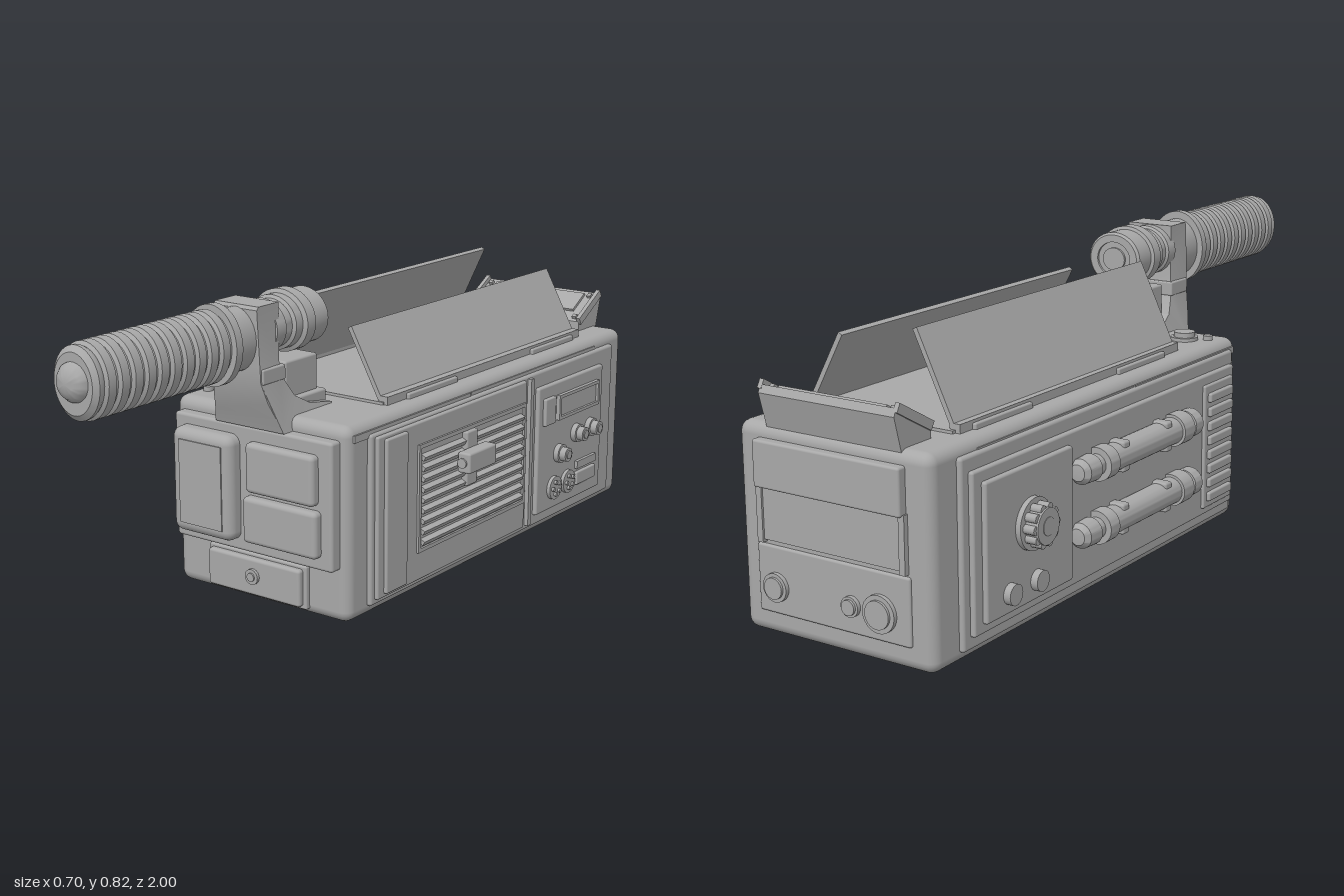
import * as THREE from 'three';
import { toCreasedNormals } from 'three/addons/utils/BufferGeometryUtils.js';
import { RoundedBoxGeometry } from 'three/addons/geometries/RoundedBoxGeometry.js';

export function createModel() {
  const root = new THREE.Group();
  const grey = new THREE.MeshStandardMaterial({ color: 0xa8a8a8 });
  grey.name = 'mid grey';

  const add = (name, geo, x = 0, y = 0, z = 0) => {
    const m = new THREE.Mesh(geo, grey);
    m.name = name;
    m.position.set(x, y, z);
    root.add(m);
    return m;
  };
  // Box given by its extents; r rounds the edges
  const box = (name, x0, x1, y0, y1, z0, z1, r = 0) => {
    const s = [x1 - x0, y1 - y0, z1 - z0];
    const geo = r ? new RoundedBoxGeometry(...s, 3, r) : new THREE.BoxGeometry(...s);
    return add(name, geo, (x0 + x1) / 2, (y0 + y1) / 2, (z0 + z1) / 2);
  };
  // Cylinder along an axis
  const cyl = (name, axis, r, len, x, y, z, sides = 24) => {
    const geo = new THREE.CylinderGeometry(r, r, len, sides);
    if (axis === 'x') geo.rotateZ(Math.PI / 2);
    if (axis === 'z') geo.rotateX(Math.PI / 2);
    return add(name, geo, x, y, z);
  };
  // Turned part along z from [radius, z] points, z rising
  const turned = (name, pts, x, y, sx = 1) => {
    let geo = new THREE.LatheGeometry(pts.map(p => new THREE.Vector2(p[0], p[1])), 40);
    geo.rotateX(Math.PI / 2);
    geo.scale(sx, 1, 1);
    geo = toCreasedNormals(geo, 0.6);
    return add(name, geo, x, y, 0);
  };
  // Side profile in [z, y], extruded across x
  const profile = (pts, width) => {
    const shape = new THREE.Shape(pts.map(p => new THREE.Vector2(p[0], p[1])));
    const geo = new THREE.ExtrudeGeometry(shape, { depth: width, bevelEnabled: false });
    geo.translate(0, 0, -width / 2);
    geo.rotateY(-Math.PI / 2);
    return geo;
  };
  // Four thin bars framing a rectangle on a side face (x is the outer face)
  const sideFrame = (name, x0, x1, y0, y1, z0, z1, t) => {
    box(name, x0, x1, y0, y0 + t, z0, z1);
    box(name, x0, x1, y1 - t, y1, z0, z1);
    box(name, x0, x1, y0 + t, y1 - t, z0, z0 + t);
    box(name, x0, x1, y0 + t, y1 - t, z1 - t, z1);
  };

  // Case and skids
  box('caseBody', -0.266, 0.274, 0.033, 0.526, -0.975, 0.357, 0.028);
  for (const x of [-0.168, 0.168]) box('skid', x - 0.025, x + 0.025, 0, 0.06, -0.845, 0.225, 0.008);

  // Front panels
  box('frontPlate', -0.24, 0.25, 0.17, 0.493, 0.34, 0.388, 0.008);
  box('frontWindowFrame', -0.22, -0.03, 0.197, 0.467, 0.36, 0.43, 0.025);
  box('frontWindow', -0.19, -0.055, 0.225, 0.44, 0.425, 0.433);
  box('upperPad', 0.002, 0.21, 0.332, 0.458, 0.37, 0.412, 0.012);
  box('lowerPad', -0.008, 0.218, 0.202, 0.32, 0.37, 0.412, 0.012);
  box('drawerFrame', -0.15, 0.158, 0.05, 0.162, 0.34, 0.37, 0.005);
  box('drawerFace', -0.142, 0.148, 0.058, 0.154, 0.35, 0.386, 0.008);
  cyl('drawerLock', 'z', 0.02, 0.02, 0.004, 0.109, 0.384);
  cyl('drawerLockCore', 'z', 0.011, 0.02, 0.004, 0.109, 0.388);

  // Left side: base plate, grille and control panel
  box('leftSidePlate', 0.25, 0.286, 0.06, 0.495, -0.9, 0.28, 0.008);
  box('leftVentPlate', 0.27, 0.296, 0.075, 0.487, -0.415, 0.265, 0.005);
  box('leftStrip', 0.28, 0.305, 0.085, 0.478, 0.15, 0.24, 0.005);
  sideFrame('ventFrame', 0.29, 0.302, 0.15, 0.43, -0.405, 0.1, 0.01);
  for (let i = 0; i < 9; i++) {
    const slat = box('ventSlat', 0.288, 0.308, 0.17 + i * 0.0275, 0.182 + i * 0.0275, -0.385, 0.085);
    slat.rotation.z = -0.45;
  }
  box('latchBase', 0.29, 0.312, 0.275, 0.42, -0.15, -0.1, 0.005);
  cyl('latchPost', 'x', 0.018, 0.05, 0.31, 0.35, -0.123);
  box('latchBlock', 0.308, 0.346, 0.323, 0.377, -0.187, -0.06, 0.006);
  cyl('latchPin', 'z', 0.013, 0.136, 0.324, 0.35, -0.123);
  box('panelDivider', 0.28, 0.298, 0.075, 0.487, -0.447, -0.432);
  box('controlPanel', 0.27, 0.298, 0.092, 0.452, -0.825, -0.475, 0.006);
  box('smallSwitch', 0.29, 0.308, 0.342, 0.418, -0.552, -0.497, 0.004);
  sideFrame('displayFrame', 0.29, 0.309, 0.345, 0.415, -0.79, -0.568, 0.009);
  box('displayScreen', 0.29, 0.302, 0.353, 0.407, -0.782, -0.576);
  for (const [y, z] of [[0.247, -0.585], [0.285, -0.677], [0.285, -0.755]]) {
    cyl('knobCollar', 'x', 0.026, 0.02, 0.303, y, z);
    cyl('knob', 'x', 0.02, 0.03, 0.317, y, z, 12);
    cyl('knobCap', 'x', 0.012, 0.012, 0.329, y, z);
  }
  for (const z of [-0.562, -0.636]) {
    cyl('socketRing', 'x', 0.033, 0.016, 0.3, 0.153, z);
    for (let i = 0; i < 5; i++) {
      const a = i * Math.PI * 0.4;
      cyl('socketPin', 'x', 0.006, 0.01, 0.31, 0.153 + 0.018 * Math.sin(a), z + 0.018 * Math.cos(a), 8);
    }
  }
  box('labelUpper', 0.29, 0.307, 0.178, 0.2, -0.785, -0.68);
  box('labelLower', 0.29, 0.307, 0.13, 0.168, -0.785, -0.68, 0.004);

  // Right side: base plate, control panel, canisters and vents
  box('rightSidePlate', -0.278, -0.25, 0.06, 0.5, -0.885, 0.315, 0.008);
  box('rightInnerPlate', -0.29, -0.26, 0.09, 0.465, -0.86, 0.3, 0.006);
  box('dialPanel', -0.302, -0.28, 0.113, 0.437, -0.83, -0.49, 0.006);
  cyl('dialCollar', 'x', 0.062, 0.02, -0.305, 0.3, -0.66, 32);
  cyl('dialKnob', 'x', 0.043, 0.045, -0.326, 0.3, -0.66, 32);
  for (let i = 0; i < 10; i++) {
    const a = i * Math.PI / 5;
    cyl('dialGrip', 'x', 0.011, 0.04, -0.324, 0.3 + 0.042 * Math.sin(a), -0.66 + 0.042 * Math.cos(a), 10);
  }
  cyl('dialCap', 'x', 0.022, 0.01, -0.345, 0.3, -0.66);
  for (const [z, r] of [[-0.745, 0.025], [-0.64, 0.025]]) {
    cyl('smallButton', 'x', r, 0.03, -0.305, 0.16, z);
  }
  for (const y of [0.213, 0.368]) {
    turned('canister', [[0, -0.48], [0.02, -0.478], [0.031, -0.465], [0.033, -0.42], [0.026, -0.415],
      [0.026, -0.395], [0.041, -0.395], [0.041, -0.355], [0.034, -0.355], [0.034, -0.05], [0.041, -0.05],
      [0.041, 0.0], [0.028, 0.0], [0.028, 0.015], [0.036, 0.015], [0.036, 0.05], [0.025, 0.066], [0, 0.07]], -0.305, y);
    for (const z of [-0.3, -0.1]) box('canisterClamp', -0.33, -0.28, y - 0.038, y + 0.038, z - 0.015, z + 0.015, 0.006);
  }
  box('ventPanel', -0.298, -0.28, 0.11, 0.44, 0.135, 0.285, 0.005);
  for (let i = 0; i < 8; i++) box('ventBar', -0.308, -0.29, 0.128 + i * 0.038, 0.152 + i * 0.038, 0.15, 0.27, 0.005);

  // Thin seam rails along the upper edges
  for (const s of [-1, 1]) {
    const cx = 0.004 + s * 0.266;
    box('frontRail', cx - 0.008, cx + 0.008, 0.486, 0.504, -0.165, 0.335);
    box('rearRail', cx - 0.006, cx + 0.006, 0.494, 0.504, -0.81, -0.17);
    for (const z of [-0.65, -0.06]) box('hingeClip', 0.004 + s * 0.215 - 0.016, 0.004 + s * 0.215 + 0.016, 0.515, 0.54, z - 0.11, z + 0.11, 0.004);
  }

  // Top bay with two open doors
  box('bayFloor', -0.205, 0.215, 0.51, 0.533, -0.815, 0.135);
  for (const s of [-1, 1]) box('baySill', 0.004 + s * 0.208 - 0.014, 0.004 + s * 0.208 + 0.014, 0.52, 0.547, -0.805, 0.13);
  const door = (name, x0, y0, x1, y1) => {
    const m = box(name, -0.006, 0.006, 0, Math.hypot(x1 - x0, y1 - y0), -0.805, 0.13);
    m.position.x = (x0 + x1) / 2;
    m.position.y = (y0 + y1) / 2;
    m.rotation.z = -Math.atan2(x1 - x0, y1 - y0);
  };
  door('rightDoor', -0.2, 0.535, -0.1, 0.745);
  door('leftDoor', 0.203, 0.537, 0.11, 0.707);

  // Knobs on the top deck
  cyl('deckButton', 'y', 0.028, 0.03, -0.168, 0.533, 0.25, 16);
  cyl('deckButtonBase', 'y', 0.036, 0.014, -0.168, 0.528, 0.25);
  cyl('deckScrew', 'y', 0.013, 0.02, -0.222, 0.528, 0.28, 12);

  // Rear sloping console
  add('consoleWedge', profile([[-0.865, 0.515], [-0.865, 0.553], [-0.98, 0.618], [-0.988, 0.6], [-0.965, 0.515]], 0.376), 0.003);
  const slope = new THREE.Group();
  slope.name = 'consoleFace';
  slope.position.set(0.003, 0.587, -0.922);
  slope.rotation.x = Math.atan2(0.065, 0.115);
  root.add(slope);
  const slopeBox = (name, w, h, d, x, z) => {
    const m = new THREE.Mesh(new THREE.BoxGeometry(w, h, d), grey);
    m.name = name;
    m.position.set(x, 0, z);
    slope.add(m);
  };
  slopeBox('consoleScreen', 0.3, 0.012, 0.075, 0, -0.012);
  for (const s of [-1, 1]) {
    slopeBox('consoleSide', 0.012, 0.022, 0.132, s * 0.188, 0);
    for (const z of [-0.045, 0.05]) slopeBox('consoleScrew', 0.012, 0.014, 0.012, s * 0.168, z);
  }

  // Back face
  box('rearBand', -0.2, 0.21, 0.385, 0.495, -0.998, -0.96, 0.006);
  box('rearRecessPanel', -0.19, 0.2, 0.262, 0.385, -0.983, -0.96);
  for (const x of [-0.2, 0.2]) box('rearTrim', x - 0.004, x + 0.012, 0.255, 0.39, -0.988, -0.96);
  box('rearLowerPanel', -0.21, 0.22, 0.09, 0.25, -0.982, -0.96, 0.006);
  for (const [x, r] of [[0.165, 0.034], [-0.05, 0.024], [-0.13, 0.044]]) {
    cyl('rearPort', 'z', r, 0.02, x, 0.155, -0.982);
    cyl('rearPortCap', 'z', r * 0.75, 0.02, x, 0.155, -0.988);
  }

  // Handle post: curved side profile, flared towards its foot
  const post = profile([[0.432, 0.803], [0.438, 0.795], [0.438, 0.66], [0.434, 0.62], [0.422, 0.57], [0.405, 0.53],
    [0.392, 0.493], [0.34, 0.493], [0.19, 0.52], [0.19, 0.53], [0.27, 0.543], [0.32, 0.57],
    [0.345, 0.61], [0.357, 0.66], [0.357, 0.803]].reverse(), 2);
  const pos = post.attributes.position;
  for (let i = 0; i < pos.count; i++) {
    const t = Math.min(1, Math.max(0, (0.66 - pos.getY(i)) / 0.167));
    pos.setX(i, pos.getX(i) * (0.066 + 0.04 * Math.pow(t, 1.3)));
  }
  post.deleteAttribute('normal');
  post.computeVertexNormals();
  add('handlePost', toCreasedNormals(post, 0.5), 0.004);
  box('postCollar', -0.073, 0.081, 0.615, 0.652, 0.345, 0.43, 0.004);
  box('rearBlock', -0.056, 0.064, 0.555, 0.65, 0.2, 0.325, 0.006);
  box('rearBlockFoot', -0.072, 0.08, 0.515, 0.56, 0.185, 0.34, 0.006);

  // Ribbed oval grip
  const grip = [[0, 0.43], [0.078, 0.43], [0.078, 0.505], [0.098, 0.505], [0.098, 0.528], [0.08, 0.528]];
  for (let i = 0; i < 10; i++) {
    const z = 0.535 + i * 0.0415;
    grip.push([0.08, z], [0.089, z + 0.006], [0.089, z + 0.03], [0.08, z + 0.036]);
  }
  grip.push([0.084, 0.952], [0.084, 0.962], [0.07, 0.973], [0.055, 0.973], [0, 0.973]);
  turned('grip', grip, 0.004, 0.72, 0.82);
  turned('gripTip', [[0.047, 0.965], [0.044, 0.977], [0.035, 0.989], [0.02, 0.997], [0, 1.0]], 0.004, 0.724);

  // Stepped barrel behind the post
  turned('rearBarrel', [[0, 0.172], [0.03, 0.172], [0.03, 0.178], [0.045, 0.178], [0.045, 0.172], [0.064, 0.172],
    [0.07, 0.178], [0.07, 0.235], [0.078, 0.238], [0.078, 0.27], [0.068, 0.275], [0.068, 0.3], [0.06, 0.305],
    [0.06, 0.33], [0.066, 0.335], [0.066, 0.37], [0, 0.37]], 0.004, 0.735, 1.1);
  return root;
}
